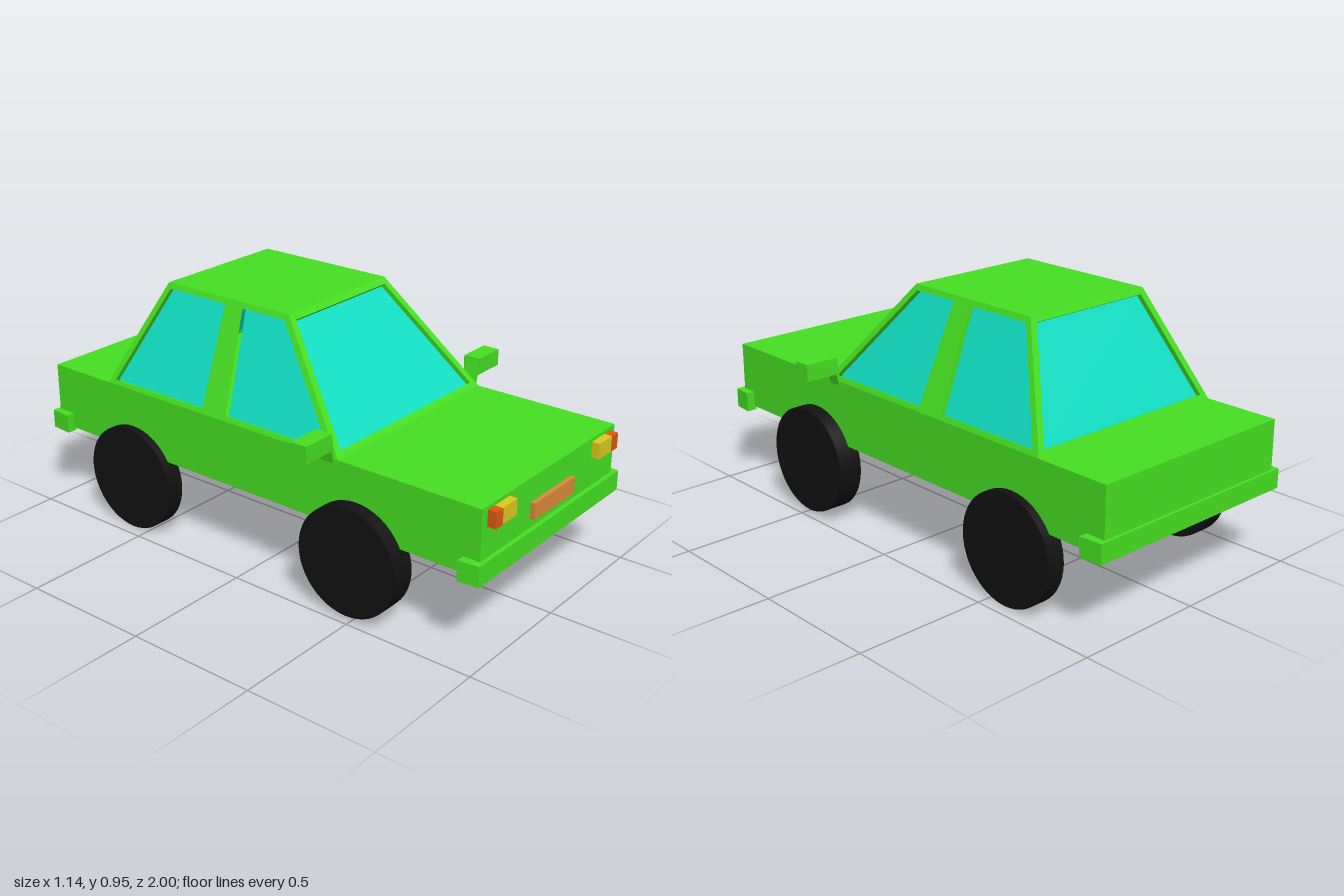
import * as THREE from 'three';

const mat = (color) => new THREE.MeshStandardMaterial({ color });
const paint = mat(0x46e022);
const glass = mat(0x11e0c4);
glass.side = THREE.DoubleSide;
const rubber = mat(0x121212);
const yellow = mat(0xdccb1f);
const orange = mat(0xdc5a10);
const plateMat = mat(0xdc8a3c);

const SILL = 0.555, ROOF = 0.95, DEPTH = 0.02;

function add(parent, name, geometry, material, x = 0, y = 0, z = 0) {
  const mesh = new THREE.Mesh(geometry, material);
  mesh.name = name;
  mesh.position.set(x, y, z);
  parent.add(mesh);
  return mesh;
}

// Box given by its limits on each axis
function block(parent, name, material, [x0, x1], [y0, y1], [z0, z1]) {
  return add(parent, name, new THREE.BoxGeometry(x1 - x0, y1 - y0, z1 - z0), material,
    (x0 + x1) / 2, (y0 + y1) / 2, (z0 + z1) / 2);
}

const shapeOf = (pts) => new THREE.Shape(pts.map(([a, b]) => new THREE.Vector2(a, b)));

// Leaning cabin wall with recessed panes; points are [distance along wall, height]
function cabinWall(parent, name, yaw, base, lean, outline, windows) {
  const wall = new THREE.Group();
  wall.name = name;
  const tilt = Math.atan2(lean, ROOF - SILL);
  wall.rotation.set(-tilt, yaw, 0, 'YXZ');
  wall.position.set(Math.sin(yaw) * base, SILL, Math.cos(yaw) * base);
  const flat = (pts) => pts.map(([a, y]) => [a, (y - SILL) / Math.cos(tilt)]);
  const frame = shapeOf(flat(outline));
  for (const w of windows) {
    frame.holes.push(shapeOf(flat(w)));
    add(wall, 'windowPane', new THREE.ShapeGeometry(shapeOf(flat(w))), glass, 0, 0, -DEPTH + 0.002);
  }
  add(wall, 'windowFrame', new THREE.ExtrudeGeometry(frame, { depth: DEPTH, bevelEnabled: false }),
    paint, 0, 0, -DEPTH);
  parent.add(wall);
}

// U-shaped bumper wrapping one end; dir is +1 for the front
function bumper(parent, name, dir, outer, inner, tip, y0, y1) {
  const pts = [[-0.455, tip], [-0.448, outer], [0.448, outer], [0.455, tip],
    [0.415, tip], [0.415, inner], [-0.415, inner], [-0.415, tip]].map(([x, z]) => [x, -z * dir]);
  const geo = new THREE.ExtrudeGeometry(shapeOf(pts), { depth: y1 - y0, bevelEnabled: false });
  geo.rotateX(-Math.PI / 2);
  add(parent, name, geo, paint, 0, y0, 0);
}

export function createModel() {
  const car = new THREE.Group();
  car.name = 'car';

  // Lower body and bumpers
  block(car, 'body', paint, [-0.422, 0.422], [0.31, SILL], [-0.988, 0.968]);
  bumper(car, 'frontBumper', 1, 0.985, 0.96, 0.905, 0.295, 0.37);
  bumper(car, 'rearBumper', -1, 1.0, 0.98, 0.913, 0.298, 0.37);

  // Cabin: windscreen, rear window, two sides and roof
  const endOutline = [[-0.422, SILL], [0.422, SILL], [0.273, ROOF], [-0.273, ROOF]];
  const endWindow = [[-0.388, 0.574], [0.388, 0.574], [0.253, 0.93], [-0.253, 0.93]];
  cabinWall(car, 'windscreen', 0, 0.4, 0.335, endOutline, [endWindow]);
  cabinWall(car, 'rearWindow', Math.PI, 0.7, 0.195, endOutline, [endWindow]);

  const sideOutline = [[0.4, SILL], [-0.7, SILL], [-0.505, ROOF], [0.065, ROOF]];
  const sideWindows = [
    [[0.355, 0.572], [-0.11, 0.572], [-0.14, 0.93], [0.052, 0.93]],
    [[-0.222, 0.572], [-0.665, 0.572], [-0.492, 0.93], [-0.222, 0.93]],
  ];
  for (const s of [1, -1]) {
    const turn = (pts) => pts.map(([z, y]) => [-s * z, y]);
    cabinWall(car, s > 0 ? 'leftCabinSide' : 'rightCabinSide', s * Math.PI / 2, 0.422, 0.149,
      turn(sideOutline), sideWindows.map(turn));
  }
  block(car, 'roof', paint, [-0.273, 0.273], [ROOF - 0.015, ROOF], [-0.505, 0.065]);

  // Number plate panel
  block(car, 'frontPlate', plateMat, [-0.128, 0.128], [0.405, 0.465], [0.96, 0.985]);

  for (const s of [1, -1]) {
    const side = s > 0 ? 'left' : 'right';
    const span = (a, b) => (s > 0 ? [a, b] : [-b, -a]);

    // Headlight and turn signal
    block(car, side + 'Headlight', yellow, span(0.265, 0.35), [0.483, 0.542], [0.96, 0.998]);
    block(car, side + 'TurnSignal', orange, span(0.35, 0.39), [0.483, 0.542], [0.96, 1.0]);

    // Door mirror on a thin stalk
    block(car, side + 'Mirror', paint, span(0.438, 0.572), [0.59, 0.653], [0.322, 0.388]);
    const stalk = shapeOf([[0.418, 0.54], [0.426, 0.54], [0.447, 0.62], [0.436, 0.65]].map(([x, y]) => [s * x, y]));
    add(car, side + 'MirrorStalk', new THREE.ExtrudeGeometry(stalk, { depth: 0.055, bevelEnabled: false }),
      paint, 0, 0, 0.33);

    // Wheels, the front pair slightly wider
    for (const [name, x0, x1, y, z, r] of [
      ['FrontWheel', 0.383, 0.478, 0.219, 0.478, 0.204],
      ['RearWheel', 0.383, 0.453, 0.204, -0.577, 0.204],
    ]) {
      const geo = new THREE.CylinderGeometry(r, r, x1 - x0, 48).rotateZ(Math.PI / 2);
      add(car, side + name, geo, rubber, s * (x0 + x1) / 2, y, z);
    }
  }
  return car;
}
